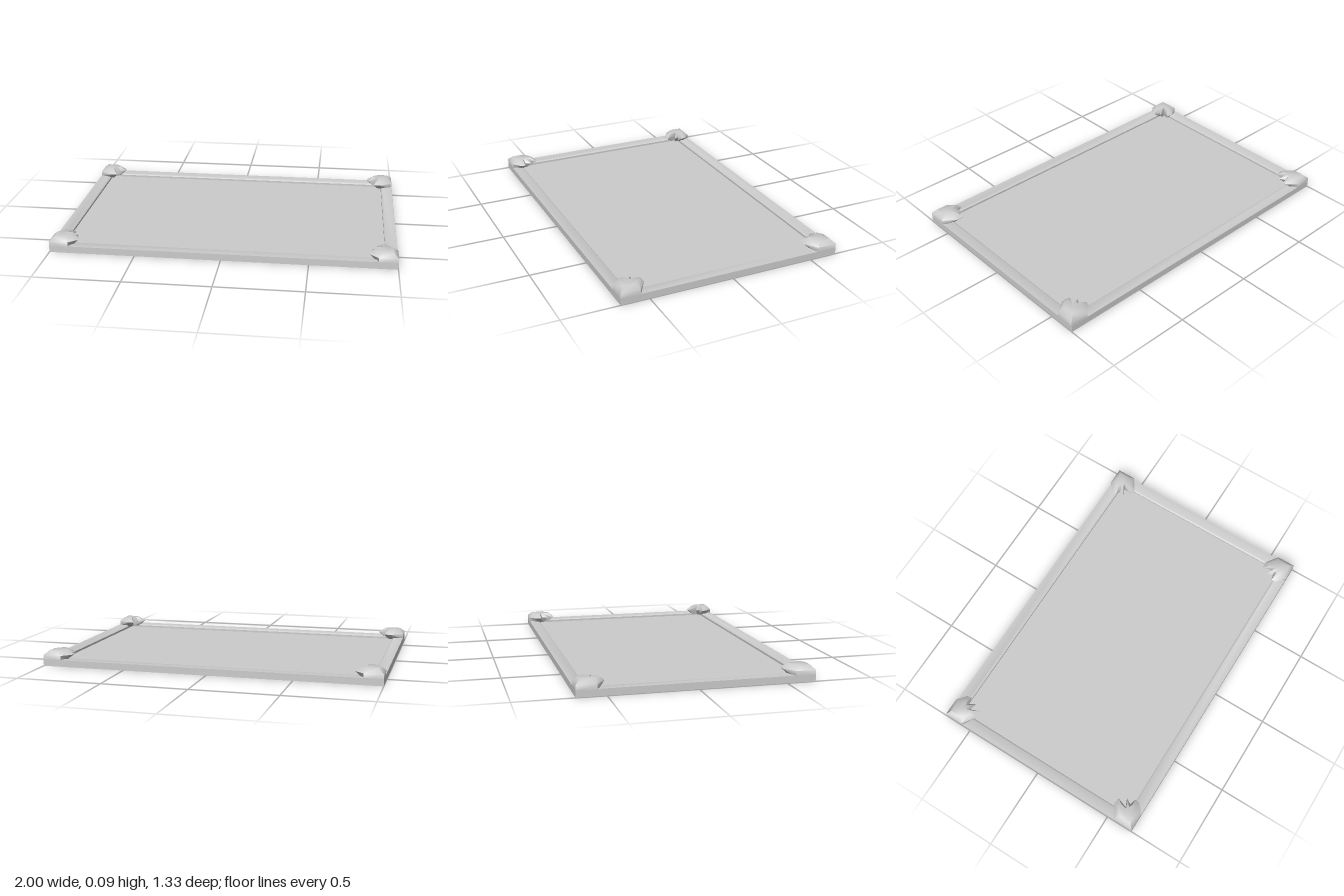
import * as THREE from 'three';
import { toCreasedNormals } from 'three/addons/utils/BufferGeometryUtils.js';

const HALF_X = 1, HALF_Z = 0.667, RAIL = 0.07;
const material = new THREE.MeshStandardMaterial({ color: 0xcccccc, side: THREE.DoubleSide });

function build(positions, index, crease) {
  const geometry = new THREE.BufferGeometry();
  geometry.setAttribute('position', new THREE.Float32BufferAttribute(positions, 3));
  geometry.setIndex(index);
  return toCreasedNormals(geometry, crease);
}

// Mitred rectangular frame swept from a rail profile of [inset, height]
function frameGeometry() {
  const profile = [[0, 0], [0, 0.04], [0.06, 0.04], [RAIL, 0.032], [RAIL, 0]];
  const corners = [[-1, -1], [1, -1], [1, 1], [-1, 1]];
  const n = profile.length, positions = [], index = [];
  for (const [sx, sz] of corners)
    for (const [inset, y] of profile)
      positions.push(sx * (HALF_X - inset), y, sz * (HALF_Z - inset));
  for (let c = 0; c < 4; c++)
    for (let p = 0; p < n; p++) {
      const q = (p + 1) % n, d = (c + 1) % 4;
      const a = c * n + p, b = c * n + q, e = d * n + p, f = d * n + q;
      index.push(a, b, e, b, f, e);
    }
  return build(positions, index, 0.8);
}

// Corner cap: three stacked outlines, measured inward from the outer corner
const capSections = [
  { y: 0.03, outline: [[0, 0], [0.11, 0], [0.125, 0.045], [0.12, 0.07], [0.11, 0.08],
    [0.11, 0.1], [0.09, 0.095], [0.09, 0.13], [0.065, 0.13], [0, 0.115]] },
  { y: 0.065, outline: [[0, 0], [0.11, 0], [0.16, 0.045], [0.165, 0.075], [0.125, 0.085],
    [0.145, 0.12], [0.095, 0.1], [0.12, 0.165], [0.075, 0.167], [0, 0.115]] },
  { y: 0.09, outline: [[0.028, 0.025], [0.09, 0.025], [0.122, 0.05], [0.125, 0.07], [0.105, 0.08],
    [0.112, 0.1], [0.085, 0.09], [0.095, 0.13], [0.07, 0.135], [0.028, 0.095]] },
];

function capGeometry(sx, sz) {
  const n = capSections[0].outline.length, rings = capSections.length;
  const positions = [], index = [];
  const put = (u, y, v) => positions.push(sx * (HALF_X - u), y, sz * (HALF_Z - v));
  const tri = (a, b, c) => (sx * sz > 0 ? index.push(a, b, c) : index.push(a, c, b));
  for (const { y, outline } of capSections)
    for (const [u, v] of outline) put(u, y, v);
  const bottom = n * rings, top = bottom + 1, last = n * (rings - 1);
  put(0.06, capSections[0].y, 0.06);
  put(0.06, capSections[rings - 1].y, 0.06);
  for (let i = 0; i < n; i++) {
    const j = (i + 1) % n;
    for (let r = 0; r < rings - 1; r++) {
      const a = r * n + i, b = r * n + j;
      tri(a, a + n, b);
      tri(b, a + n, b + n);
    }
    tri(top, last + j, last + i);
    tri(bottom, i, j);
  }
  return build(positions, index, 0.9);
}

export function createModel() {
  const group = new THREE.Group();
  const add = (name, geometry) => {
    const mesh = new THREE.Mesh(geometry, material);
    mesh.name = name;
    group.add(mesh);
    return mesh;
  };

  add('frame', frameGeometry());

  // Thin sheet filling the frame, recessed on both sides
  const panel = add('panel', new THREE.PlaneGeometry(2 * (HALF_X - RAIL), 2 * (HALF_Z - RAIL)));
  panel.rotation.x = -Math.PI / 2;
  panel.position.y = 0.02;

  // Notched caps on the four corners
  for (const sx of [-1, 1])
    for (const sz of [-1, 1])
      add(`${sz > 0 ? 'front' : 'back'}${sx > 0 ? 'Left' : 'Right'}Cap`, capGeometry(sx, sz));

  return group;
}
